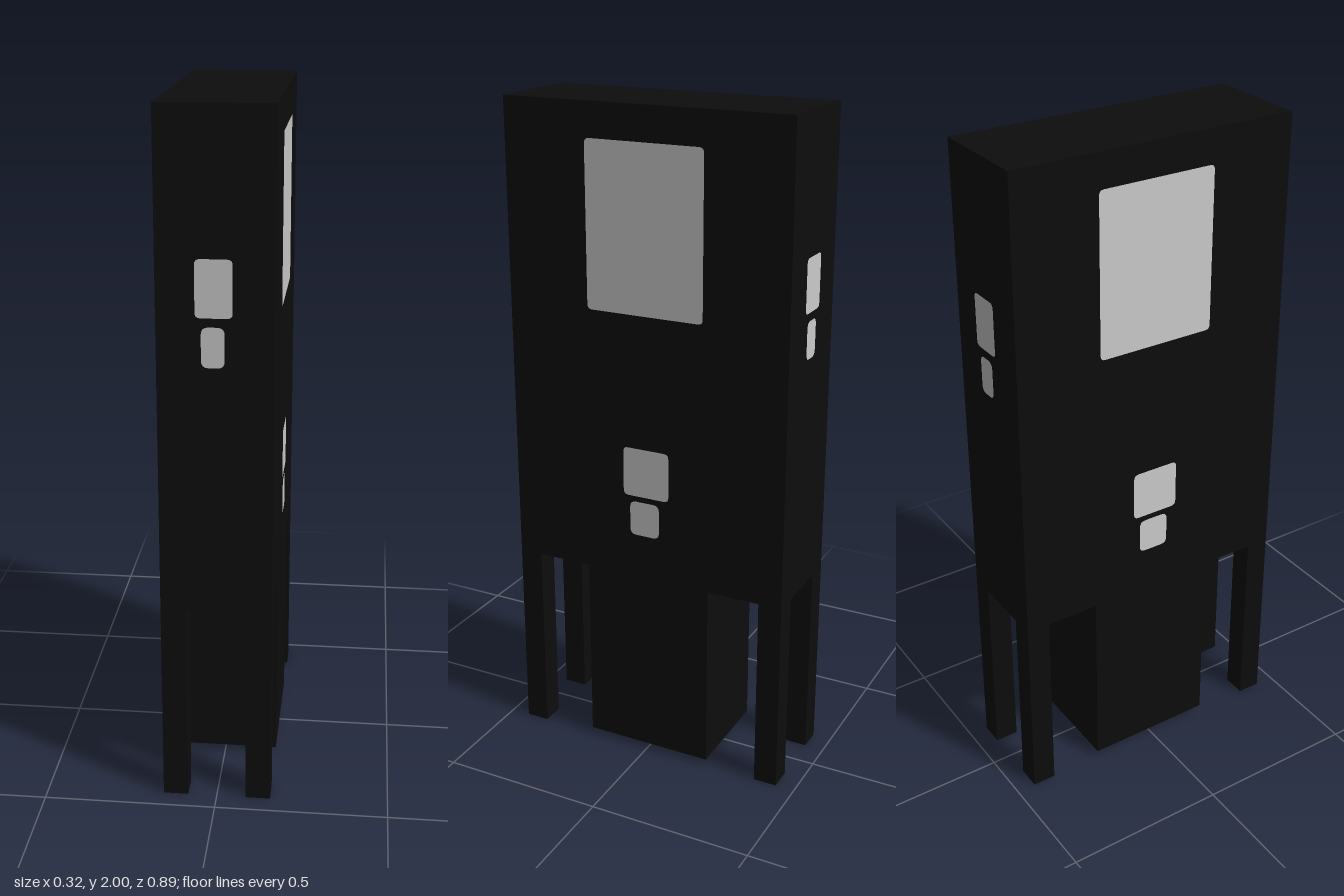
import * as THREE from 'three';

export function createModel() {
  const group = new THREE.Group();
  const black = new THREE.MeshStandardMaterial({ name: 'black', color: 0x0d0d0d });
  const paleGrey = new THREE.MeshStandardMaterial({ name: 'paleGrey', color: 0xcacbca });

  const W = 0.157, D = 0.441; // half width and half depth
  const LEG = 0.072, BELLY = 0.6;

  // Box given by its lower and upper corners
  function box(name, x0, x1, y0, y1, z0, z1) {
    const mesh = new THREE.Mesh(new THREE.BoxGeometry(x1 - x0, y1 - y0, z1 - z0), black);
    mesh.position.set((x0 + x1) / 2, (y0 + y1) / 2, (z0 + z1) / 2);
    mesh.name = name;
    group.add(mesh);
  }

  // Main slab and the block hanging under it
  box('body', -W, W, BELLY, 2, -D, D);
  box('lowerBlock', -W, W, 0.02, BELLY, -0.206, 0.197);

  // Four corner legs
  for (const sx of [-1, 1]) {
    for (const sz of [-1, 1]) {
      const x = sx * (W - LEG / 2), z = sz * (D - LEG / 2), h = LEG / 2;
      const name = (sz > 0 ? 'front' : 'back') + (sx > 0 ? 'Left' : 'Right') + 'Leg';
      box(name, x - h, x + h, 0, BELLY, z - h, z + h);
    }
  }

  // Flat panel with softened corners, facing +z before it is turned
  function panelGeometry(x0, x1, y0, y1, r) {
    const s = new THREE.Shape();
    s.moveTo(x0 + r, y0);
    s.lineTo(x1 - r, y0);
    s.quadraticCurveTo(x1, y0, x1, y0 + r);
    s.lineTo(x1, y1 - r);
    s.quadraticCurveTo(x1, y1, x1 - r, y1);
    s.lineTo(x0 + r, y1);
    s.quadraticCurveTo(x0, y1, x0, y1 - r);
    s.lineTo(x0, y0 + r);
    s.quadraticCurveTo(x0, y0, x0 + r, y0);
    return new THREE.ShapeGeometry(s, 4);
  }

  const endPanels = [
    ['upperPanel', -0.053, 0.047, 1.45, 1.607, 0.015],
    ['lowerPanel', -0.037, 0.026, 1.315, 1.426, 0.02],
  ];
  const sidePanels = [
    ['window', -0.182, 0.183, 1.416, 1.9, 0.015],
    ['upperPanel', -0.071, 0.077, 0.863, 1.014, 0.015],
    ['lowerPanel', -0.05, 0.046, 0.738, 0.846, 0.02],
  ];

  // The same panels on each pair of opposite faces
  const faces = [
    ['front', 0, D, endPanels],
    ['left', Math.PI / 2, W, sidePanels],
    ['back', Math.PI, D, endPanels],
    ['right', -Math.PI / 2, W, sidePanels],
  ];
  for (const [side, turn, distance, panels] of faces) {
    const face = new THREE.Group();
    face.name = side + 'Panels';
    face.rotation.y = turn;
    for (const [name, ...size] of panels) {
      const mesh = new THREE.Mesh(panelGeometry(...size), paleGrey);
      mesh.name = name;
      mesh.position.z = distance + 0.002;
      face.add(mesh);
    }
    group.add(face);
  }

  return group;
}
